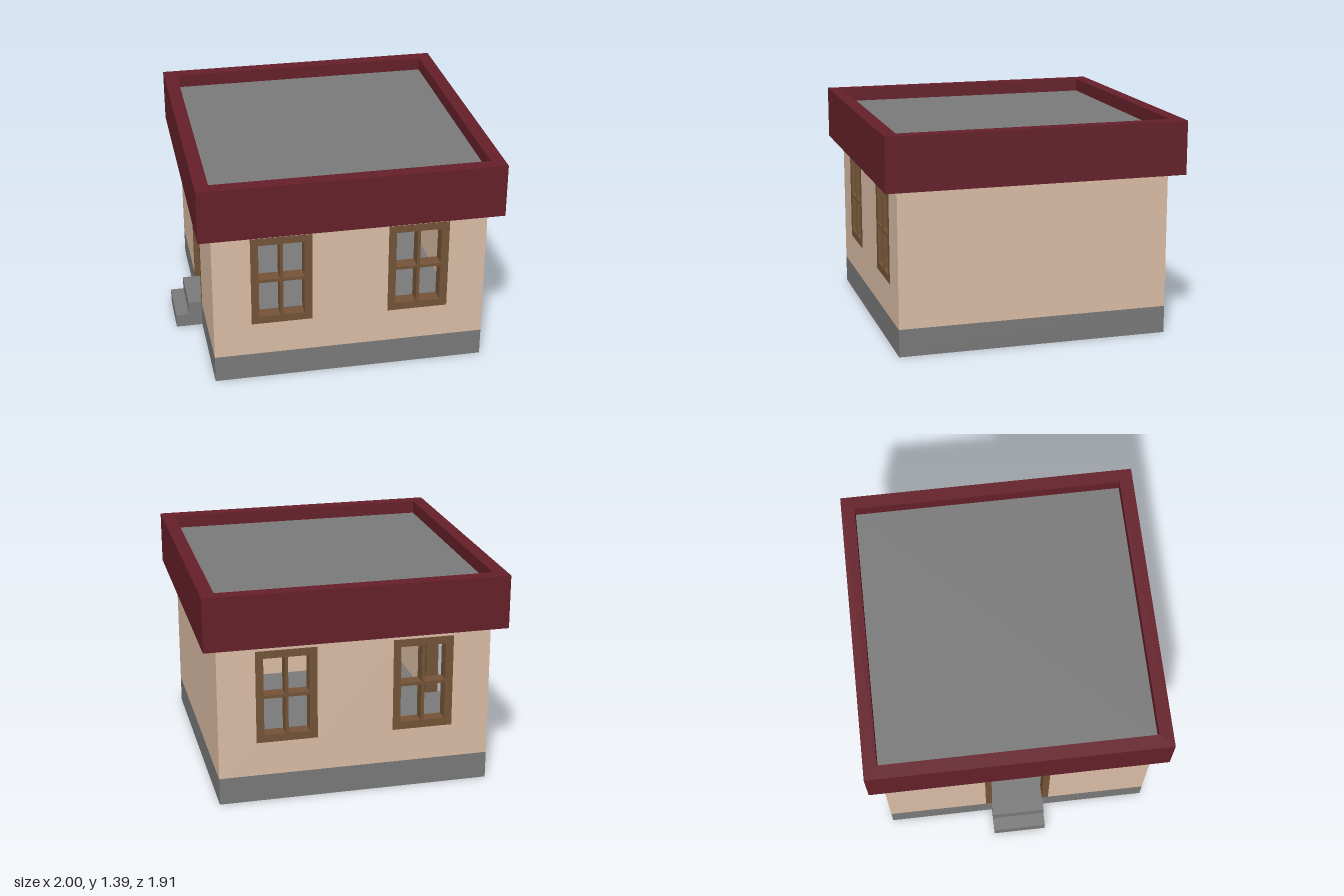
import * as THREE from 'three';

const HALF = 0.87;        // half width of the walls
const THICK = 0.087;      // wall thickness and roof overhang
const FLOOR = 0.176;      // top of the plinth
const EAVES = 1.05;       // underside of the roof
const RIM = 1.393;        // top of the parapet

const material = (color) => new THREE.MeshStandardMaterial({ color, flatShading: true, roughness: 1 });

// Closed rectangle from corner to corner, as a Shape or a Path
function rect(Type, x0, y0, x1, y1) {
  const p = new Type();
  p.moveTo(x0, y0);
  p.lineTo(x1, y0);
  p.lineTo(x1, y1);
  p.lineTo(x0, y1);
  p.closePath();
  return p;
}

// Upside-down U standing on the floor: the outline of a door frame
function doorOutline(outerHalf, outerTop, innerHalf, innerTop) {
  return new THREE.Shape([
    [-outerHalf, FLOOR], [-innerHalf, FLOOR], [-innerHalf, innerTop], [innerHalf, innerTop],
    [innerHalf, FLOOR], [outerHalf, FLOOR], [outerHalf, outerTop], [-outerHalf, outerTop],
  ].map(([x, y]) => new THREE.Vector2(x, y)));
}

export function createModel() {
  const model = new THREE.Group();
  model.name = 'house';
  const house = new THREE.Group();
  house.name = 'building';
  house.position.x = 0.0435;
  model.add(house);

  const wallMat = material(0xdcbea6);
  const stoneMat = material(0x7a7a7a);
  const woodMat = material(0x755438);
  const roofMat = material(0x66202a);

  const add = (parent, name, geometry, mat) => {
    const mesh = new THREE.Mesh(geometry, mat);
    mesh.name = name;
    parent.add(mesh);
    return mesh;
  };
  const box = (parent, name, mat, x0, x1, y0, y1, z0, z1) =>
    add(parent, name, new THREE.BoxGeometry(x1 - x0, y1 - y0, z1 - z0), mat)
      .position.set((x0 + x1) / 2, (y0 + y1) / 2, (z0 + z1) / 2);

  // Flat panel as thick as the wall, with its outer face at z = HALF
  const panel = (parent, name, shape, mat) => {
    const geometry = new THREE.ExtrudeGeometry(shape, { depth: THICK, bevelEnabled: false });
    add(parent, name, geometry, mat).position.z = HALF - THICK;
  };
  const side = (name, angle) => {
    const group = new THREE.Group();
    group.name = name;
    group.rotation.y = angle;
    house.add(group);
    return group;
  };

  // Plinth with the floor, and two entrance steps
  box(house, 'plinth', stoneMat, -HALF, HALF, 0, FLOOR, -HALF, HALF);
  box(house, 'upperStep', stoneMat, -HALF - THICK, -HALF, 0, FLOOR, -0.175, 0.175);
  box(house, 'lowerStep', stoneMat, -1.0435, -HALF - THICK, 0, FLOOR / 2, -0.175, 0.175);

  // Front and back walls, each with two four-pane windows
  const winW = 0.194, winBottom = 0.395, winTop = 1.0, bar = 0.05, mullion = 0.01;
  const winMid = (winBottom + winTop) / 2;
  for (const [name, angle] of [['front', 0], ['back', Math.PI]]) {
    const group = side(name + 'Side', angle);
    const wall = rect(THREE.Shape, -HALF, FLOOR, HALF, EAVES);
    for (const cx of [-0.436, 0.436]) {
      wall.holes.push(rect(THREE.Path, cx - winW, winBottom, cx + winW, winTop));
      const frame = rect(THREE.Shape, cx - winW, winBottom, cx + winW, winTop);
      for (const [x0, x1] of [[cx - winW + bar, cx - mullion], [cx + mullion, cx + winW - bar]]) {
        for (const [y0, y1] of [[winBottom + bar, winMid - mullion], [winMid + mullion, winTop - bar]]) {
          frame.holes.push(rect(THREE.Path, x0, y0, x1, y1));
        }
      }
      panel(group, 'windowFrame', frame, woodMat);
    }
    panel(group, name + 'Wall', wall, wallMat);
  }

  // Plain wall on one side, doorway on the other
  const inner = HALF - THICK;
  panel(side('leftSide', Math.PI / 2), 'leftWall', rect(THREE.Shape, -inner, FLOOR, inner, EAVES), wallMat);
  const doorSide = side('rightSide', -Math.PI / 2);
  panel(doorSide, 'rightWall', doorOutline(inner, EAVES, 0.215, 0.94), wallMat);
  panel(doorSide, 'doorFrame', doorOutline(0.215, 0.94, 0.172, 0.895), woodMat);

  // Flat roof slab inside an overhanging parapet
  box(house, 'roofSlab', stoneMat, -HALF, HALF, EAVES, RIM - THICK, -HALF, HALF);
  const outer = HALF + THICK;
  const ring = rect(THREE.Shape, -outer, -outer, outer, outer);
  ring.holes.push(rect(THREE.Path, -HALF, -HALF, HALF, HALF));
  const parapet = add(house, 'parapet',
    new THREE.ExtrudeGeometry(ring, { depth: RIM - EAVES, bevelEnabled: false }), roofMat);
  parapet.rotation.x = -Math.PI / 2;
  parapet.position.y = EAVES;

  return model;
}
